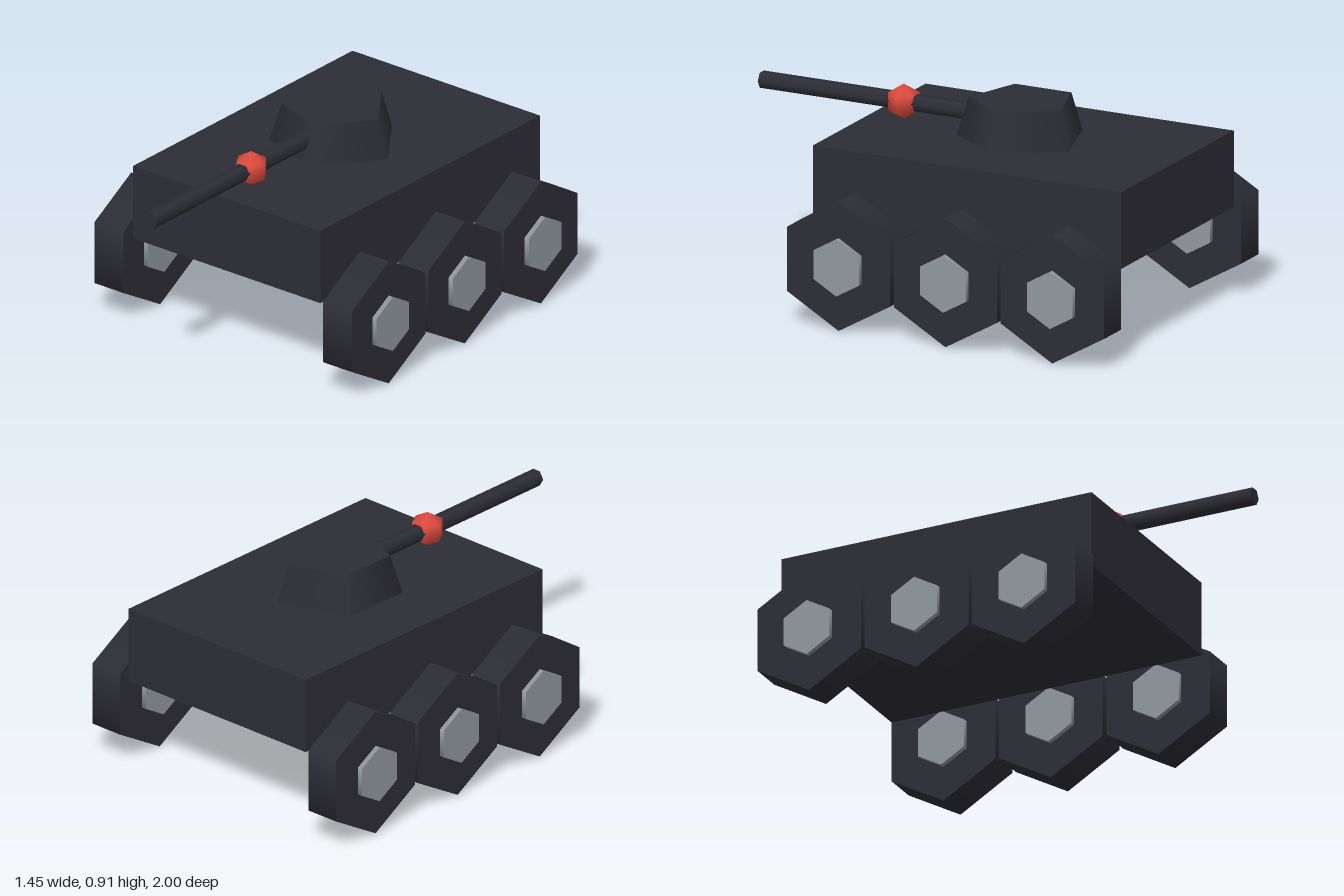
import * as THREE from 'three';

const mat = (name, color) => {
  const m = new THREE.MeshStandardMaterial({ color });
  m.name = name;
  return m;
};

export function createModel() {
  const dark = mat('dark armour', 0x2d2d36);
  const grey = mat('hub grey', 0x90989d);
  const red = mat('red', 0xe04b3e);
  const model = new THREE.Group();
  model.name = 'armouredVehicle';

  const add = (parent, name, geometry, material, x, y, z) => {
    const mesh = new THREE.Mesh(geometry, material);
    mesh.name = name;
    mesh.position.set(x, y, z);
    parent.add(mesh);
    return mesh;
  };

  // Low-poly cylinder along y, with one corner pointing to +x
  const prism = (rTop, rBottom, length, sides) =>
    new THREE.CylinderGeometry(rTop, rBottom, length, sides, 1, false, Math.PI / 2);

  // Hull
  add(model, 'hull', new THREE.BoxGeometry(1.02, 0.338, 1.472), dark, 0, 0.569, -0.249);

  // Five-sided turret
  add(model, 'turret', prism(0.23, 0.283, 0.171, 5), dark, 0, 0.8225, -0.245);

  // Gun barrel with a red bead around its middle
  add(model, 'barrel', prism(0.038, 0.038, 1.2, 6).rotateX(Math.PI / 2), dark, 0, 0.822, 0.4);
  add(model, 'barrelBead', new THREE.SphereGeometry(0.078, 6, 3), red, 0, 0.82, 0.322);

  // Three six-sided wheels on each side, with hubs standing out on both faces
  const tyre = prism(0.284, 0.284, 0.158, 6).rotateZ(Math.PI / 2);
  const hub = prism(0.126, 0.126, 0.204, 6).rotateZ(Math.PI / 2);
  for (const side of [-1, 1]) {
    for (const z of [0.264, -0.246, -0.756]) {
      const wheel = new THREE.Group();
      wheel.name = side > 0 ? 'leftWheel' : 'rightWheel';
      wheel.position.set(side * 0.622, 0.285, z);
      add(wheel, 'tyre', tyre, dark, 0, 0, 0);
      add(wheel, 'hub', hub, grey, 0, 0, 0);
      model.add(wheel);
    }
  }
  return model;
}
